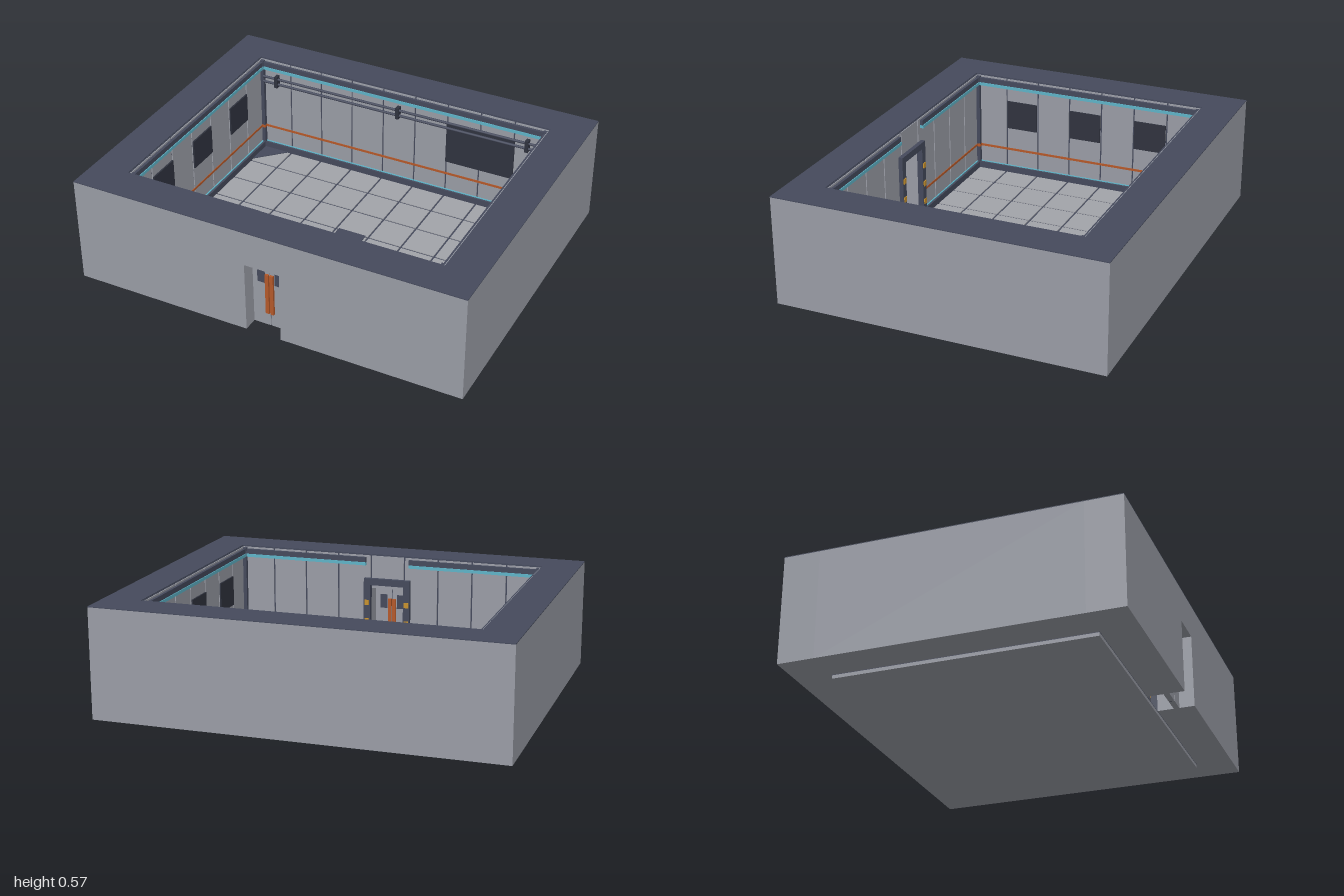
import * as THREE from 'three';

const mat = (name, color) => {
  const m = new THREE.MeshStandardMaterial({ color });
  m.name = name;
  return m;
};

export function createModel() {
  const wallGrey = mat('wallGrey', 0x9a9da6);
  const tileGrey = mat('tileGrey', 0xa2a4a9);
  const slate = mat('slate', 0x454a5c);
  const charcoal = mat('charcoal', 0x30333f);
  const orange = mat('orange', 0xb5592a);
  const yellow = mat('yellow', 0xc8922e);
  const teal = mat('teal', 0x5fb4c8);

  const root = new THREE.Group();
  root.name = 'room';
  const X = 0.815, Z = 0.635, OX = 1, OZ = 0.816; // inner and outer half sizes
  const Y0 = 0.02, TOP = 0.566, CAP = 0.004;
  const CX = (2 * X) / 9, CZ = (2 * Z) / 7; // grid cells
  const DOOR_W = 0.09, DOOR_H = 0.385;

  const add = (parent, name, geo, m) => {
    const mesh = new THREE.Mesh(geo, m);
    mesh.name = name;
    parent.add(mesh);
    return mesh;
  };
  // box given by its ranges along each axis
  const box = (parent, name, m, x0, x1, y0, y1, z0, z1) => {
    const b = add(parent, name, new THREE.BoxGeometry(x1 - x0, y1 - y0, z1 - z0), m);
    b.position.set((x0 + x1) / 2, (y0 + y1) / 2, (z0 + z1) / 2);
    return b;
  };
  const shapeOf = (pts) => new THREE.Shape(pts.map((p) => new THREE.Vector2(...p)));

  // outer shell
  const WT = TOP - CAP;
  box(root, 'backShell', wallGrey, -OX, OX, Y0, WT, -OZ, -Z);
  for (const s of [-1, 1])
    box(root, 'sideShell', wallGrey, Math.min(s * X, s * OX), Math.max(s * X, s * OX), Y0, WT, -Z, Z);
  const frontShape = shapeOf([[-OX, Y0], [-DOOR_W, Y0], [-DOOR_W, DOOR_H], [DOOR_W, DOOR_H],
    [DOOR_W, Y0], [OX, Y0], [OX, WT], [-OX, WT]]);
  const front = add(root, 'frontShell',
    new THREE.ExtrudeGeometry(frontShape, { depth: OZ - Z, bevelEnabled: false }), wallGrey);
  front.position.z = Z;

  // dark cap on top of the walls
  const capShape = shapeOf([[-OX, -OZ], [OX, -OZ], [OX, OZ], [-OX, OZ]]);
  capShape.holes.push(shapeOf([[-X, -Z], [-X, Z], [X, Z], [X, -Z]]));
  const cap = add(root, 'wallCap',
    new THREE.ExtrudeGeometry(capShape, { depth: CAP, bevelEnabled: false }), slate);
  cap.rotation.x = -Math.PI / 2;
  cap.position.y = WT;

  // floor slab, dark bed and tiles
  box(root, 'floorSlab', wallGrey, -X, X, 0, 0.017, -Z, Z);
  box(root, 'floorBed', slate, -X, X, 0.017, 0.02, -Z, Z);
  const G = 0.005;
  for (let i = 0; i < 9; i++)
    for (let j = 0; j < 7; j++) {
      const x = -X + i * CX, z = -Z + j * CZ;
      box(root, 'floorTile', tileGrey, x + G, x + CX - G, 0.02, 0.024, z + G, z + CZ - G);
    }
  box(root, 'floorRunner', slate, -0.075, 0.075, 0.02, 0.028, -0.095, 0.612);
  for (let i = -2; i <= 2; i++)
    box(root, 'floorMarker', yellow, i * 0.074 - 0.02, i * 0.074 + 0.02, 0.024, 0.031, 0.573, 0.61);

  // triangular plates in two floor corners
  for (const s of [-1, 1]) {
    const tri = shapeOf([[s * X, -s * Z], [s * X, -s * 0.45], [s * 0.63, -s * Z]]);
    const plate = add(root, 'cornerPlate',
      new THREE.ExtrudeGeometry(tri, { depth: 0.004, bevelEnabled: false }), slate);
    plate.rotation.x = -Math.PI / 2;
    plate.position.y = 0.024;
  }

  // wall lining; local x runs along the wall, local +z points into the room
  const lining = (name, half, count, x, z, turn, hasDoor) => {
    const g = new THREE.Group();
    g.name = name;
    g.position.set(x, 0, z);
    g.rotation.y = turn;
    root.add(g);
    const cell = (2 * half) / count;
    for (let i = 0; i < count; i++) {
      const a = -half + i * cell, b = a + cell;
      const low = hasDoor && i === (count - 1) / 2 ? DOOR_H : Y0;
      box(g, 'wallBacking', slate, a, b, low, WT, 0, 0.003);
      box(g, 'wallPanel', wallGrey, a + 0.004, b - 0.004, low, WT - 0.003, 0.003, 0.008);
    }
    const spans = hasDoor ? [[-half, -0.117], [0.117, half]] : [[-half, half]];
    for (const [a, b] of spans) {
      box(g, 'baseboard', slate, a, b, Y0, 0.058, 0, 0.024);
      box(g, 'baseLight', teal, a, b, 0.058, 0.062, 0.008, 0.014);
      box(g, 'wallStripe', orange, a, b, 0.15, 0.162, 0.008, 0.011);
      box(g, 'lightHousing', slate, a, b, 0.524, 0.55, 0, 0.022);
      box(g, 'lightStrip', teal, a, b, 0.508, 0.524, 0.008, 0.026);
    }
    return g;
  };
  const back = lining('backLining', X, 9, 0, -Z, 0, false);
  const inner = lining('frontLining', X, 9, 0, Z, Math.PI, true);
  const sides = [-1, 1].map((s) => lining('sideLining', Z, 7, s * X, 0, -s * Math.PI / 2, false));

  // dark inset panels on the side walls and a large screen on the back wall
  for (const g of sides)
    for (const c of [-2, 0, 2])
      box(g, 'sideScreen', charcoal, c * CZ - 0.086, c * CZ + 0.086, 0.28, 0.435, 0.008, 0.016);
  box(back, 'backScreen', charcoal, 0.27, 0.64, 0.23, 0.455, 0.008, 0.016);

  // pipe rails with brackets along the back wall
  for (const y of [0.438, 0.468]) {
    const rail = add(back, 'pipeRail', new THREE.CylinderGeometry(0.007, 0.007, 1.58, 10), slate);
    rail.rotation.z = Math.PI / 2;
    rail.position.set(0, y, 0.026);
  }
  for (const x of [-0.71, 0, 0.71])
    box(back, 'railBracket', charcoal, x - 0.009, x + 0.009, 0.42, 0.485, 0.008, 0.038);

  // corner posts
  for (const sx of [-1, 1])
    for (const sz of [-1, 1]) {
      const px = sx * 0.802, pz = sz * 0.622;
      box(root, 'cornerPost', slate, px - 0.014, px + 0.014, Y0, 0.556, pz - 0.014, pz + 0.014);
      box(root, 'cornerBand', orange, px - 0.016, px + 0.016, 0.148, 0.164, pz - 0.016, pz + 0.016);
    }

  // inner door frame with hazard markers
  const frame = shapeOf([[-0.125, Y0], [-DOOR_W, Y0], [-DOOR_W, DOOR_H + 0.02], [DOOR_W, DOOR_H + 0.02],
    [DOOR_W, Y0], [0.125, Y0], [0.125, 0.44], [-0.125, 0.44]]);
  add(inner, 'doorFrame', new THREE.ExtrudeGeometry(frame, { depth: 0.03, bevelEnabled: false }), slate);
  for (const s of [-1, 1])
    for (const y of [0.11, 0.21, 0.31])
      box(inner, 'frameMarker', yellow, s * 0.108 - 0.012, s * 0.108 + 0.012, y - 0.014, y + 0.014, 0.03, 0.034);

  // double door recessed in the front wall
  const door = new THREE.Group();
  door.name = 'door';
  door.position.z = 0.728;
  root.add(door);
  box(door, 'doorSeam', slate, -0.003, 0.003, Y0, DOOR_H, -0.01, 0.01);
  for (const s of [-1, 1]) {
    const leaf = box(door, 'doorLeaf', wallGrey, 0.002, DOOR_W, Y0, DOOR_H, -0.014, 0.014);
    leaf.position.x *= s;
    for (const f of [-1, 1]) {
      const win = box(door, 'doorWindow', slate, 0.026, 0.064, 0.26, 0.334, 0.014, 0.018);
      const bar = box(door, 'doorBar', orange, 0.003, 0.021, 0.093, 0.312, 0.014, 0.026);
      for (const p of [win, bar]) {
        p.position.x *= s;
        p.position.z *= f;
      }
    }
  }
  return root;
}
